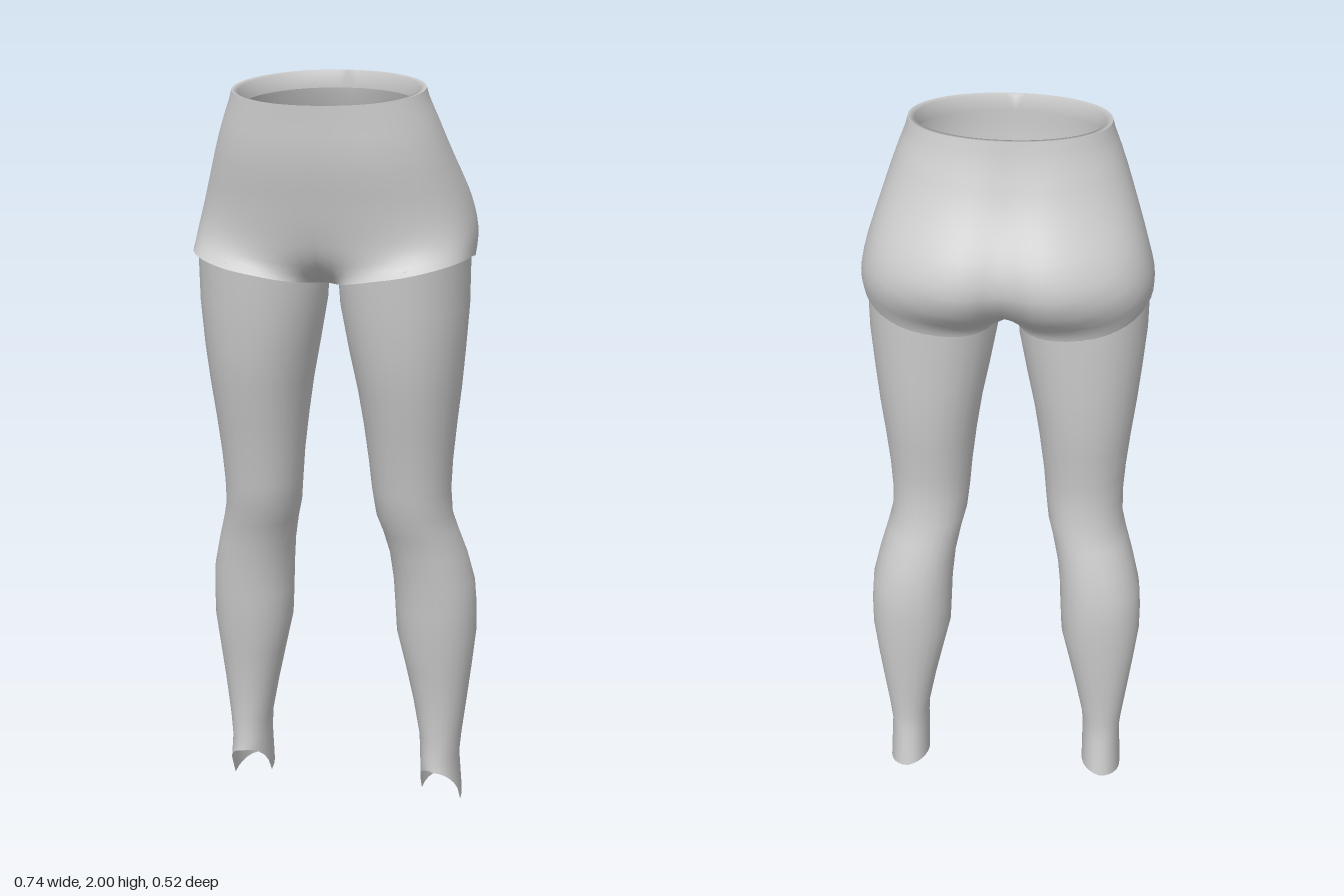
import * as THREE from 'three';
import { mergeGeometries, mergeVertices } from 'three/addons/utils/BufferGeometryUtils.js';

const { lerp, degToRad } = THREE.MathUtils;
const material = new THREE.MeshStandardMaterial({ color: 0xcccccc, side: THREE.DoubleSide });
const spow = (v, p) => Math.sign(v) * Math.abs(v) ** p;

// Surface through rows of [x, y, z] points, listed from top to bottom
function grid(rows, flip = false) {
  const n = rows[0].length, index = [];
  for (let r = 0; r < rows.length - 1; r++) {
    for (let c = 0; c < n - 1; c++) {
      const a = r * n + c, b = a + 1, d = a + n, e = d + 1;
      index.push(...(flip ? [a, d, b, b, d, e] : [a, b, d, b, e, d]));
    }
  }
  const g = new THREE.BufferGeometry();
  const flat = rows.flat().flatMap(([x, y, z]) => [flip ? -x : x, y, z]);
  g.setAttribute('position', new THREE.Float32BufferAttribute(flat, 3));
  g.setIndex(index);
  return g;
}

function smoothMesh(name, parts) {
  const g = mergeVertices(mergeGeometries(parts), 1e-4);
  g.computeVertexNormals();
  const mesh = new THREE.Mesh(g, material);
  mesh.name = name;
  return mesh;
}

// Shorts profile: y, half width, front z, back z
const BODY = [
  [2.0, 0.243, 0.267, -0.107], [1.95, 0.255, 0.267, -0.12], [1.9, 0.275, 0.265, -0.14],
  [1.85, 0.293, 0.264, -0.162], [1.8, 0.31, 0.26, -0.192], [1.75, 0.327, 0.252, -0.228],
  [1.7, 0.343, 0.242, -0.257], [1.65, 0.356, 0.234, -0.27], [1.6, 0.366, 0.228, -0.266],
  [1.55, 0.368, 0.228, -0.25], [1.46, 0.368, 0.23, -0.18],
];
function bodyAt(y) {
  let i = 0;
  while (i < BODY.length - 2 && y < BODY[i + 1][0]) i++;
  const t = THREE.MathUtils.clamp((y - BODY[i][0]) / (BODY[i + 1][0] - BODY[i][0]), 0, 1);
  return BODY[i].map((v, k) => lerp(v, BODY[i + 1][k], t));
}

// Shorts leg opening: angle 0 is the outer side, 90 degrees the front
const HEM = { x: 0.19, z: 0.035, rx: 0.177, rz: 0.197 };
const hemY = (f) => 1.553 - 0.075 * (1 - Math.cos(f)) / 2 - 0.025 * Math.max(0, -Math.sin(f));
const hemPoint = (f) => [
  HEM.x + HEM.rx * spow(Math.cos(f), 0.88), hemY(f), HEM.z + HEM.rz * spow(Math.sin(f), 0.88),
];

function makeShorts() {
  const cols = 36, steps = 18, end = degToRad(160);
  const rows = [];
  for (let r = 0; r <= steps; r++) {
    const v = r / steps, w = v ** 8, row = [];
    for (let c = 0; c <= cols; c++) {
      const s = (c / cols) * 2 - 1, a = s * Math.PI / 2, f = s * end;
      const sin = Math.sin(a), cos = Math.max(0, Math.cos(a));
      const hem = hemPoint(f);
      const y = lerp(1.972 - 0.028 * sin, hem[1], v);
      const [, hx, zf, zb] = bodyAt(y);
      const p = lerp(0.97, 0.84, v);
      const x = hx * cos ** p;
      let z = (zf + zb) / 2 + (zf - zb) / 2 * spow(sin, p);
      // Hollow between the buttocks
      if (sin < 0) z += 0.04 * v * Math.exp(-((x / 0.07) ** 2));
      const edge = c === 0 || c === cols;
      row.push([edge ? 0 : lerp(x, hem[0], w), y, lerp(z, hem[2], w)]);
    }
    rows.push(row);
  }
  // Rim turned in at the waist
  const rim = [[0.93, 0.045], [0.93, 0.002]].map(([k, drop]) =>
    rows[0].map(([x, y, z]) => [x * k, y - drop, 0.08 + (z - 0.08) * k]));

  // Crotch strip between the centre seam and the inner edge of the opening
  const seam = [], inner = [], n = 12;
  for (let j = 0; j <= n; j++) {
    const q = hemPoint(lerp(end, 2 * Math.PI - end, j / n));
    if (j === 0 || j === n) q[0] = 0;
    inner.push(q);
    seam.push([0, q[1] + 0.03 * Math.sin(Math.PI * j / n), q[2]]);
  }
  // Hem turned in around the thigh
  const loop = [...rows[steps], ...inner.slice(1)];
  const tuck = loop.map(([x, y, z]) =>
    [HEM.x + (x - HEM.x) * 0.93, y + 0.012, HEM.z + (z - HEM.z) * 0.93]);

  const both = (make) => [make(false), make(true)];
  const shorts = new THREE.Group();
  shorts.name = 'shorts';
  shorts.add(
    smoothMesh('shortsBody', [
      ...both((m) => grid(rows, m)), ...both((m) => grid([seam, inner], m))]),
    smoothMesh('waistRim', both((m) => grid([...rim, rows[0]], m))),
    smoothMesh('legHems', both((m) => grid([loop, tuck], m))),
  );
  return shorts;
}

// Leg rings: y, inner x, outer x, front z, back z
const LEG = [
  [1.53, 0.022, 0.358, 0.222, -0.152], [1.42, 0.026, 0.356, 0.213, -0.15],
  [1.3, 0.048, 0.346, 0.2, -0.146], [1.2, 0.068, 0.336, 0.18, -0.141],
  [1.1, 0.083, 0.324, 0.157, -0.13], [1.0, 0.095, 0.314, 0.134, -0.116],
  [0.92, 0.102, 0.309, 0.12, -0.115], [0.85, 0.11, 0.311, 0.105, -0.125],
  [0.8, 0.124, 0.324, 0.085, -0.138], [0.73, 0.139, 0.345, 0.067, -0.16],
  [0.65, 0.147, 0.364, 0.055, -0.174], [0.58, 0.15, 0.369, 0.046, -0.177],
  [0.5, 0.154, 0.369, 0.038, -0.175], [0.4, 0.177, 0.357, 0.02, -0.169],
  [0.3, 0.199, 0.344, 0.006, -0.161], [0.2, 0.218, 0.331, 0.0, -0.154],
  [0.14, 0.221, 0.325, 0.003, -0.157], [0.0, 0.221, 0.331, 0.008, -0.18],
];

function makeLeg(name, flip) {
  const sides = 24, last = LEG.length - 1;
  const rows = LEG.map(([y, x0, x1, zf, zb], r) => {
    const row = [];
    for (let c = 0; c <= sides; c++) {
      const f = (c % sides) / sides * Math.PI * 2, sin = Math.sin(f), cos = Math.cos(f);
      let h = y;
      if (r === 0) h = hemY(f) + 0.012;
      // Ragged ankle edge: open in front, lowest on the outer side
      if (r === last) {
        h = 0.11 * Math.max(0, sin) ** 0.7 + 0.03 * Math.max(0, -sin) + 0.02 * Math.max(0, -cos);
      }
      row.push([(x0 + x1) / 2 + (x1 - x0) / 2 * spow(cos, 0.94), h,
        (zf + zb) / 2 + (zf - zb) / 2 * spow(sin, 0.94)]);
    }
    return row;
  });
  return smoothMesh(name, [grid(rows, flip)]);
}

export function createModel() {
  const model = new THREE.Group();
  model.name = 'legsWithShorts';
  model.add(makeShorts(), makeLeg('leftLeg', false), makeLeg('rightLeg', true));
  return model;
}
